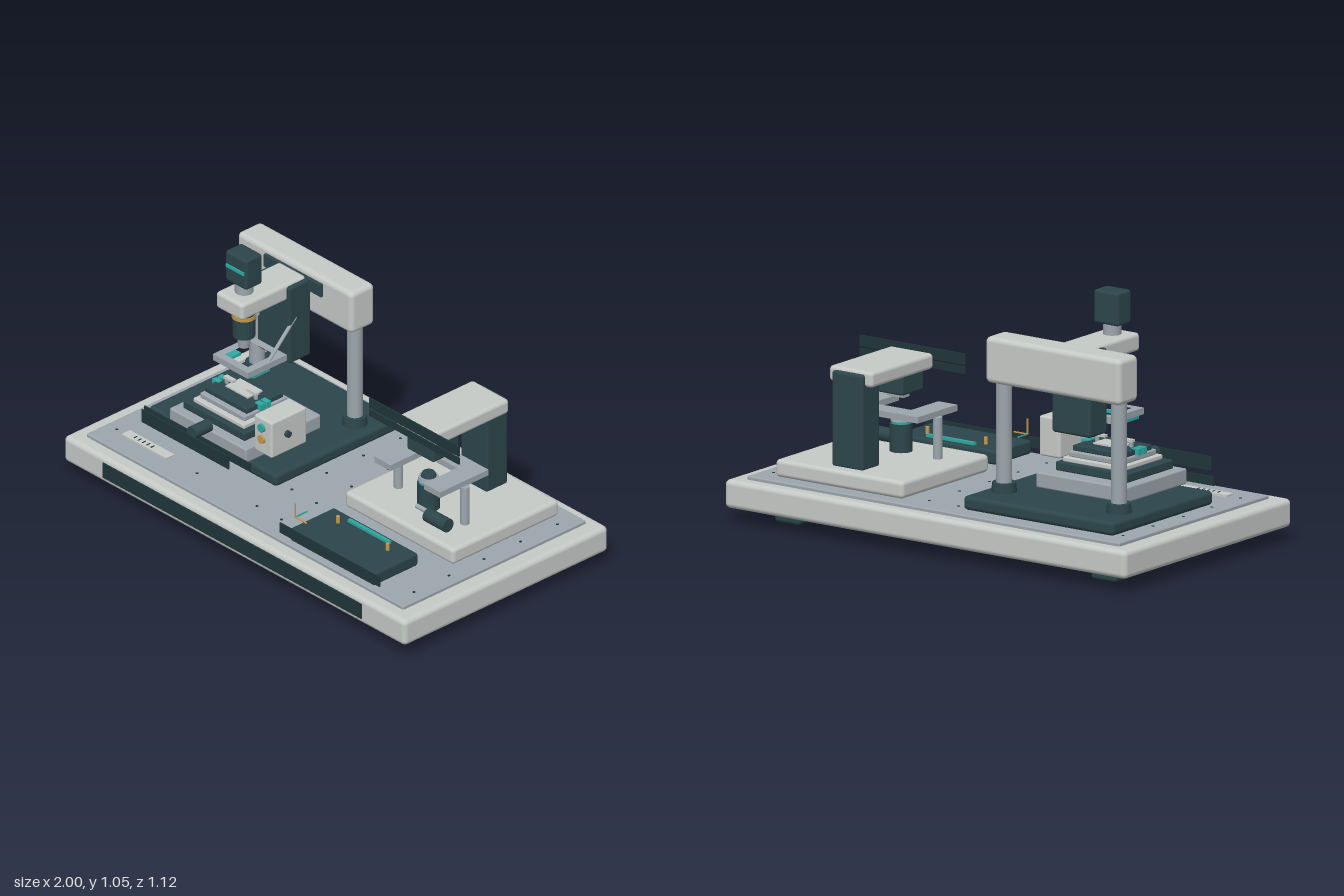
import * as THREE from 'three';
import { RoundedBoxGeometry } from 'three/addons/geometries/RoundedBoxGeometry.js';

const mat = (name, color) => {
  const m = new THREE.MeshStandardMaterial({ color });
  m.name = name;
  return m;
};

export function createModel() {
  const root = new THREE.Group();
  root.name = 'opticalBench';
  const light = mat('warm light grey', 0xc6cac7);
  const grey = mat('blue grey', 0x9ca6ad);
  const dark = mat('dark slate', 0x2c464b);
  const black = mat('deep slate', 0x20363a);
  const teal = mat('teal', 0x2fa9a3);
  const gold = mat('brass', 0xc8994c);

  const add = (name, geo, m, parent = root) => {
    const mesh = new THREE.Mesh(geo, m);
    mesh.name = name;
    parent.add(mesh);
    return mesh;
  };
  // box given by its ranges, rounded when r > 0
  const box = (name, m, [x0, x1], [y0, y1], [z0, z1], r = 0, parent = root) => {
    const w = x1 - x0, h = y1 - y0, d = z1 - z0;
    const geo = r ? new RoundedBoxGeometry(w, h, d, 3, r) : new THREE.BoxGeometry(w, h, d);
    const b = add(name, geo, m, parent);
    b.position.set((x0 + x1) / 2, (y0 + y1) / 2, (z0 + z1) / 2);
    return b;
  };
  // upright cylinder between two heights
  const post = (name, m, x, z, y0, y1, r, rBottom = r, parent = root) => {
    const c = add(name, new THREE.CylinderGeometry(r, rBottom, y1 - y0, 32), m, parent);
    c.position.set(x, (y0 + y1) / 2, z);
    return c;
  };
  // flat plate with a hole or notch, lying in xz; points are [x, z]
  const flat = (name, m, pts, y0, y1, hole, parent = root) => {
    const toV = ([x, z]) => new THREE.Vector2(x, -z);
    const s = new THREE.Shape(pts.map(toV));
    if (hole) s.holes.push(new THREE.Path(hole.map(toV)));
    const geo = new THREE.ExtrudeGeometry(s, { depth: y1 - y0, bevelEnabled: false });
    geo.rotateX(-Math.PI / 2);
    const p = add(name, geo, m, parent);
    p.position.y = y0;
    return p;
  };
  const rect = (x0, x1, z0, z1) => [[x0, z0], [x1, z0], [x1, z1], [x0, z1]];
  const group = (name) => {
    const g = new THREE.Group();
    g.name = name;
    root.add(g);
    return g;
  };

  // bench
  const bench = group('bench');
  box('benchBody', light, [-1, 1], [0.06, 0.177], [-0.56, 0.552], 0.022, bench);
  box('deckPlate', grey, [-0.93, 0.925], [0.17, 0.192], [-0.505, 0.49], 0.006, bench);
  box('frontStripe', black, [-0.76, 0.755], [0.09, 0.158], [0.556, 0.561], 0, bench);
  for (const x of [-0.79, 0.785]) for (const z of [-0.367, 0.36])
    box('foot', dark, [x - 0.063, x + 0.063], [0, 0.065], [z - 0.063, z + 0.063], 0.015, bench);
  for (const x of [-0.87, -0.4, -0.05, 0.095, 0.87]) for (const z of [-0.4, -0.2, 0, 0.19, 0.38])
    post('deckHole', black, x, z, 0.19, 0.1935, 0.006, 0.006, bench);
  box('markerPlate', light, [-0.82, -0.56], [0.192, 0.201], [0.355, 0.4], 0, bench);
  for (let i = 0; i < 5; i++)
    box('markerTick', black, [-0.765 + i * 0.025, -0.76 + i * 0.025], [0.2, 0.203], [0.37, 0.388], 0, bench);

  // gantry station
  const gantry = group('gantryStation');
  box('gantryBase', dark, [-0.85, -0.1], [0.192, 0.25], [-0.44, 0.23], 0.018, gantry);
  for (const x of [-0.762, -0.19]) {
    post('column', grey, x, -0.283, 0.25, 0.71, 0.032, 0.032, gantry);
    post('columnCollar', dark, x, -0.283, 0.245, 0.29, 0.048, 0.052, gantry);
  }
  box('crossBeam', light, [-0.813, -0.14], [0.702, 0.892], [-0.348, -0.218], 0.022, gantry);
  box('beamRail', dark, [-0.642, -0.305], [0.81, 0.868], [-0.222, -0.205], 0.004, gantry);
  box('focusColumn', dark, [-0.57, -0.378], [0.51, 0.862], [-0.22, -0.102], 0.012, gantry);
  box('headArm', light, [-0.552, -0.395], [0.797, 0.873], [-0.21, 0.14], 0.016, gantry);

  // camera and lens barrel
  const cx = -0.474, cz = 0.056;
  box('cameraBody', dark, [cx - 0.062, cx + 0.062], [0.917, 1.055], [0.012, 0.102], 0.012, gantry);
  box('cameraStripe', teal, [cx - 0.052, cx + 0.052], [0.985, 0.999], [0.101, 0.108], 0, gantry);
  post('cameraTube', grey, cx, cz, 0.865, 0.92, 0.037, 0.037, gantry);
  post('lensBarrel', dark, cx, cz, 0.67, 0.8, 0.047, 0.045, gantry);
  post('lensRing', gold, cx, cz, 0.757, 0.773, 0.05, 0.05, gantry);
  post('lensTip', grey, cx, cz, 0.62, 0.672, 0.029, 0.023, gantry);

  // tilted lamp frame and its struts
  flat('lampFrame', grey, rect(-0.575, -0.37, -0.08, 0.132), 0.542, 0.569, rect(-0.54, -0.405, -0.045, 0.098), gantry);
  box('lampStrip', teal, [-0.54, -0.405], [0.53, 0.542], [0.1, 0.118], 0, gantry);
  for (const x of [-0.575, -0.405])
    box('lampStrip', teal, [x, x + 0.035], [0.53, 0.542], [0.01, 0.1], 0, gantry);
  for (const x of [-0.56, -0.385]) {
    const strut = post('lampStrut', grey, x, -0.065, 0.53, 0.745, 0.008, 0.008, gantry);
    strut.rotation.x = -Math.PI / 4;
  }

  // layered sample stage
  const stage = group('sampleStage');
  box('stageSlab', grey, [-0.7, -0.25], [0.25, 0.315], [-0.155, 0.253], 0.008, stage);
  box('stageSlide', dark, [-0.66, -0.3], [0.315, 0.352], [-0.09, 0.215], 0.006, stage);
  box('stageTable', light, [-0.622, -0.325], [0.352, 0.372], [-0.075, 0.195], 0.005, stage);
  box('stageTray', grey, [-0.605, -0.343], [0.372, 0.395], [-0.06, 0.175], 0.005, stage);
  box('samplePlate', dark, [-0.598, -0.352], [0.395, 0.418], [-0.045, 0.155], 0.004, stage);
  box('sampleSlide', light, [-0.54, -0.41], [0.418, 0.425], [0.015, 0.095], 0, stage);
  for (const s of [-1, 1]) {
    for (const z of [0.053, 0.085])
      box('clampBlock', teal, [cx + s * 0.125 - 0.018, cx + s * 0.125 + 0.018], [0.395, 0.422], [z - 0.012, z + 0.012], 0, stage);
    post('clipPost', grey, cx + s * 0.085, 0.07, 0.418, 0.445, 0.009, 0.009, stage);
    box('clipArm', light, [cx + s * 0.068 - 0.027, cx + s * 0.068 + 0.027], [0.438, 0.449], [0.06, 0.08], 0, stage);
  }
  const knob = post('stageKnob', dark, -0.474, 0.295, 0.285, 0.377, 0.027, 0.027, stage);
  knob.rotation.x = Math.PI / 2;
  box('stageSkirt', black, [-0.81, -0.19], [0.252, 0.29], [0.282, 0.288], 0, stage);
  box('stageSkirtUpper', black, [-0.73, -0.22], [0.286, 0.344], [0.37, 0.376], 0, stage);

  // control box
  const control = group('controlBox');
  box('controlBody', light, [-0.222, -0.117], [0.322, 0.487], [0.045, 0.237], 0.01, control);
  [[teal, 0.445], [gold, 0.393]].forEach(([m, y]) => {
    const b = post('controlButton', m, -0.172, 0.24, y - 0.008, y + 0.008, 0.018, 0.018, control);
    b.rotation.x = Math.PI / 2;
  });
  const dial = post('sideDial', dark, -0.111, 0.155, 0.4, 0.418, 0.014, 0.014, control);
  dial.rotation.z = Math.PI / 2;

  // inverted viewing station
  const viewer = group('viewingStation');
  box('viewerBase', light, [0.19, 0.826], [0.192, 0.265], [-0.452, 0.127], 0.018, viewer);
  box('viewerTower', dark, [0.43, 0.585], [0.26, 0.655], [-0.397, -0.28], 0.012, viewer);
  box('viewerArm', light, [0.396, 0.612], [0.603, 0.668], [-0.38, 0.033], 0.016, viewer);
  box('lampHouse', dark, [0.43, 0.587], [0.517, 0.606], [-0.13, 0.012], 0.01, viewer);
  post('condenserStem', grey, 0.508, -0.054, 0.493, 0.52, 0.022, 0.022, viewer);
  box('condenserPlate', grey, [0.468, 0.55], [0.494, 0.51], [-0.076, -0.033], 0, viewer);
  box('armBarUpper', black, [0.245, 0.77], [0.64, 0.686], [0.038, 0.044], 0, viewer);
  box('armBarLower', black, [0.245, 0.77], [0.603, 0.633], [0.038, 0.044], 0, viewer);
  flat('viewerStage', grey,
    [[0.315, -0.183], [0.7, -0.183], [0.7, 0.08], [0.605, 0.08], [0.605, -0.1], [0.41, -0.1], [0.41, 0.08], [0.315, 0.08]],
    0.433, 0.459, null, viewer);
  for (const x of [0.313, 0.702]) post('stageLeg', grey, x, -0.053, 0.262, 0.436, 0.019, 0.019, viewer);
  post('objectiveBody', dark, 0.508, -0.036, 0.262, 0.38, 0.046, 0.046, viewer);
  post('objectiveBand', teal, 0.508, -0.036, 0.38, 0.39, 0.041, 0.041, viewer);
  post('objectiveCollar', grey, 0.508, -0.036, 0.39, 0.408, 0.04, 0.043, viewer);
  post('objectiveTip', dark, 0.508, -0.036, 0.408, 0.425, 0.025, 0.032, viewer);
  const focus = post('focusKnob', dark, 0.65, 0.045, 0.235, 0.355, 0.029, 0.029, viewer);
  focus.rotation.z = Math.PI / 2;
  const axle = post('focusAxle', grey, 0.56, 0.03, 0.245, 0.345, 0.01, 0.01, viewer);
  axle.rotation.z = Math.PI / 2;

  // front console
  const consoleGroup = group('console');
  box('consoleBody', dark, [0.235, 0.73], [0.192, 0.25], [0.225, 0.468], 0.012, consoleGroup);
  box('consoleStrip', teal, [0.36, 0.6], [0.248, 0.262], [0.252, 0.267], 0, consoleGroup);
  for (const x of [0.337, 0.628]) post('consolePin', gold, x, 0.298, 0.248, 0.28, 0.008, 0.008, consoleGroup);
  box('consoleFrontPlate', black, [0.19, 0.775], [0.215, 0.26], [0.475, 0.481], 0, consoleGroup);

  // small corner gauge with three thin arms
  box('gaugeArmAcross', gold, [0.225, 0.295], [0.279, 0.284], [0.427, 0.432], 0, consoleGroup);
  box('gaugeArmUp', gold, [0.225, 0.23], [0.279, 0.345], [0.427, 0.432], 0, consoleGroup);
  box('gaugeArmBack', teal, [0.225, 0.23], [0.279, 0.284], [0.365, 0.427], 0, consoleGroup);

  return root;
}
